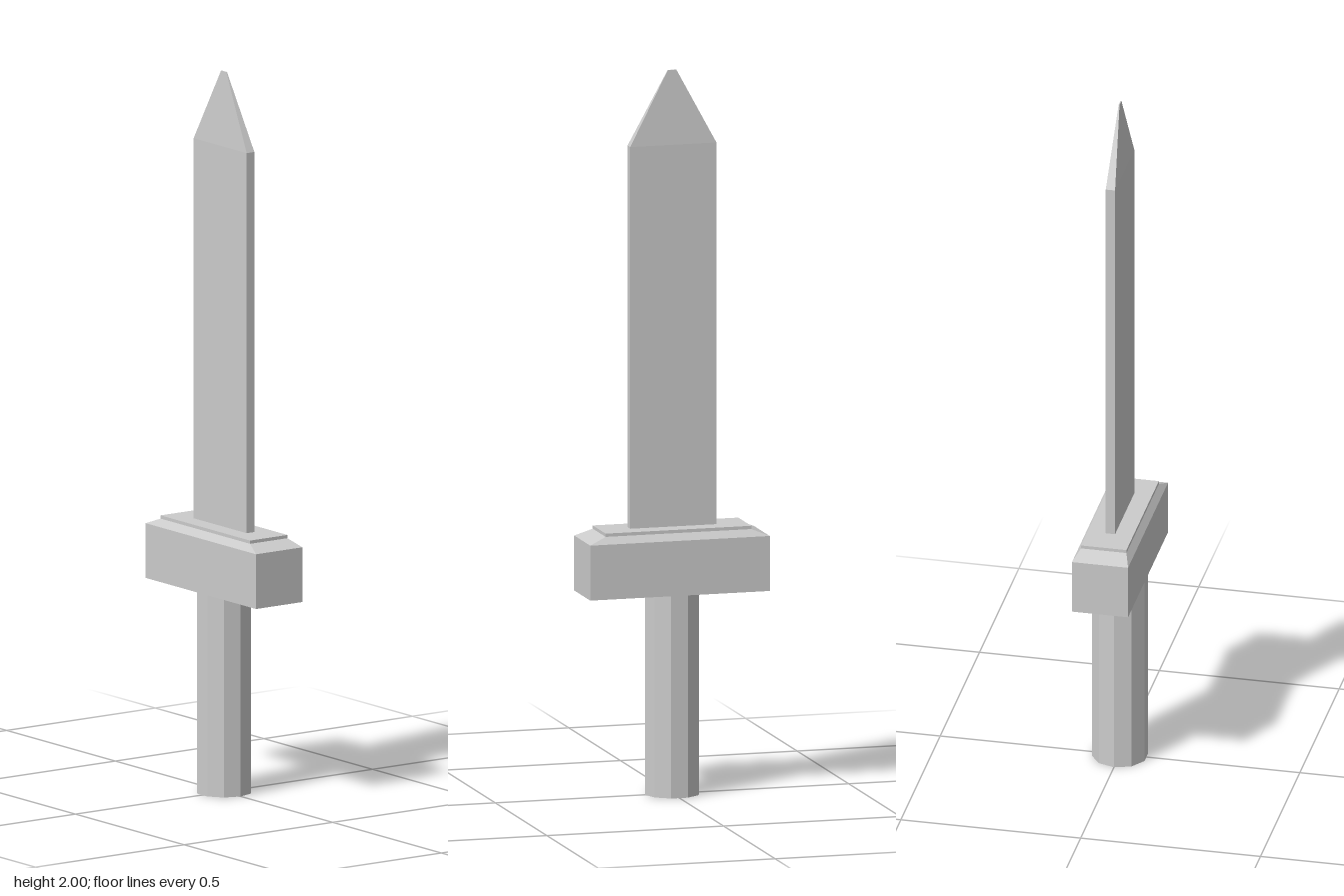
import * as THREE from 'three';

const material = new THREE.MeshStandardMaterial({ color: 0xcccccc, flatShading: true });

// Closed stack of rectangles; each section is [y, half width x, half depth z], bottom to top.
function loftRectangles(sections) {
  const corners = [[1, 1], [1, -1], [-1, -1], [-1, 1]];
  const positions = [];
  const index = [];
  for (const [y, hx, hz] of sections) {
    for (const [sx, sz] of corners) positions.push(sx * hx, y, sz * hz);
  }
  for (let s = 0; s < sections.length - 1; s++) {
    for (let i = 0; i < 4; i++) {
      const a = s * 4 + i;
      const b = s * 4 + ((i + 1) % 4);
      index.push(a, b, b + 4, a, b + 4, a + 4);
    }
  }
  const t = (sections.length - 1) * 4;
  index.push(t, t + 1, t + 2, t, t + 2, t + 3); // top cap
  index.push(0, 2, 1, 0, 3, 2); // bottom cap
  const geometry = new THREE.BufferGeometry();
  geometry.setAttribute('position', new THREE.Float32BufferAttribute(positions, 3));
  geometry.setIndex(index);
  const flat = geometry.toNonIndexed();
  flat.computeVertexNormals();
  return flat;
}

export function createModel() {
  const model = new THREE.Group();
  model.name = 'sword';

  const addPart = (name, geometry) => {
    const mesh = new THREE.Mesh(geometry, material);
    mesh.name = name;
    model.add(mesh);
    return mesh;
  };

  // Ten-sided grip
  const gripHeight = 0.56;
  addPart('grip', new THREE.CylinderGeometry(0.077, 0.077, gripHeight, 10)).position.y = gripHeight / 2;

  // Crossguard: block, sloped shoulder and a thin raised lip
  addPart('crossguard', loftRectangles([
    [0.56, 0.078, 0.254],
    [0.712, 0.078, 0.254],
    [0.731, 0.063, 0.206],
    [0.74, 0.063, 0.206],
  ]));

  // Flat blade tapering to a tiny blunt tip
  addPart('blade', loftRectangles([
    [0.73, 0.013, 0.122],
    [1.795, 0.013, 0.122],
    [2.0, 0.0013, 0.012],
  ]));

  return model;
}
